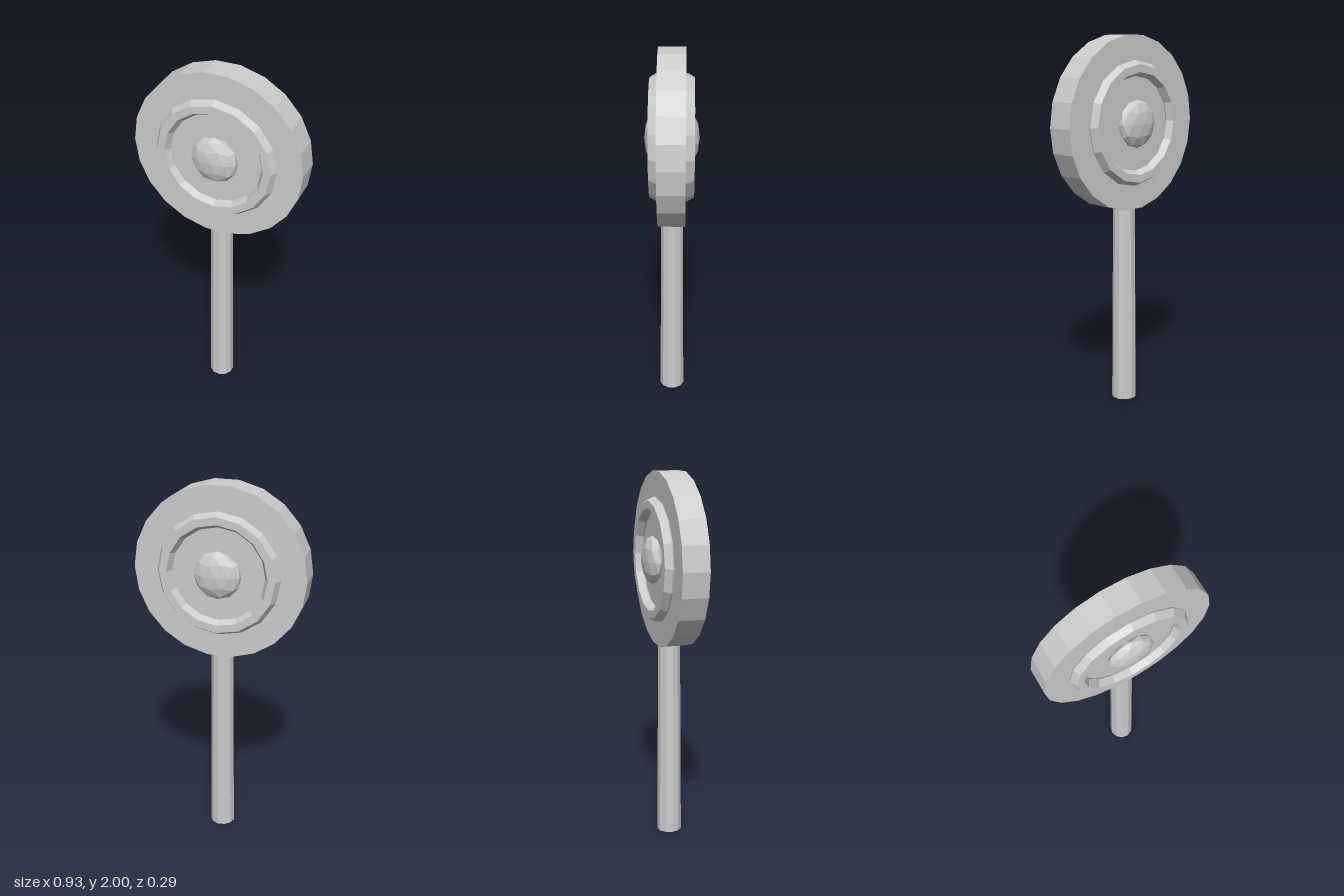
import * as THREE from 'three';

export function createModel() {
  const model = new THREE.Group();
  model.name = 'lollipop';
  const grey = new THREE.MeshStandardMaterial({ color: 0xcccccc, flatShading: true });
  grey.name = 'light grey';

  const headY = 1.5417;
  const add = (name, geometry, y, z = 0) => {
    const mesh = new THREE.Mesh(geometry, grey);
    mesh.name = name;
    mesh.position.set(0, y, z);
    model.add(mesh);
    return mesh;
  };

  // Slightly tapered stick, running a little way into the disc
  const stickHeight = 1.1;
  add('stick', new THREE.CylinderGeometry(0.06, 0.068, stickHeight, 11, 1, false, -Math.PI / 2), stickHeight / 2);

  // Thick round disc standing on edge
  const disc = new THREE.CylinderGeometry(0.463, 0.463, 0.142, 22, 1, false, -Math.PI / 2);
  disc.rotateX(Math.PI / 2);
  add('disc', disc, headY);

  // Raised ring and flattened centre button on both faces
  const ring = new THREE.TorusGeometry(0.29, 0.041, 6, 16);
  const button = new THREE.IcosahedronGeometry(0.128, 1);
  button.rotateZ(Math.atan2(2, 1 + Math.sqrt(5))); // bring a corner to the top
  button.scale(1, 1, 0.4);
  for (const [side, sign] of [['front', 1], ['back', -1]]) {
    add(side + 'Ring', ring, headY, sign * 0.08);
    const knob = add(side + 'Button', button, headY, sign * 0.093);
    if (sign < 0) knob.rotation.y = Math.PI;
  }
  return model;
}
